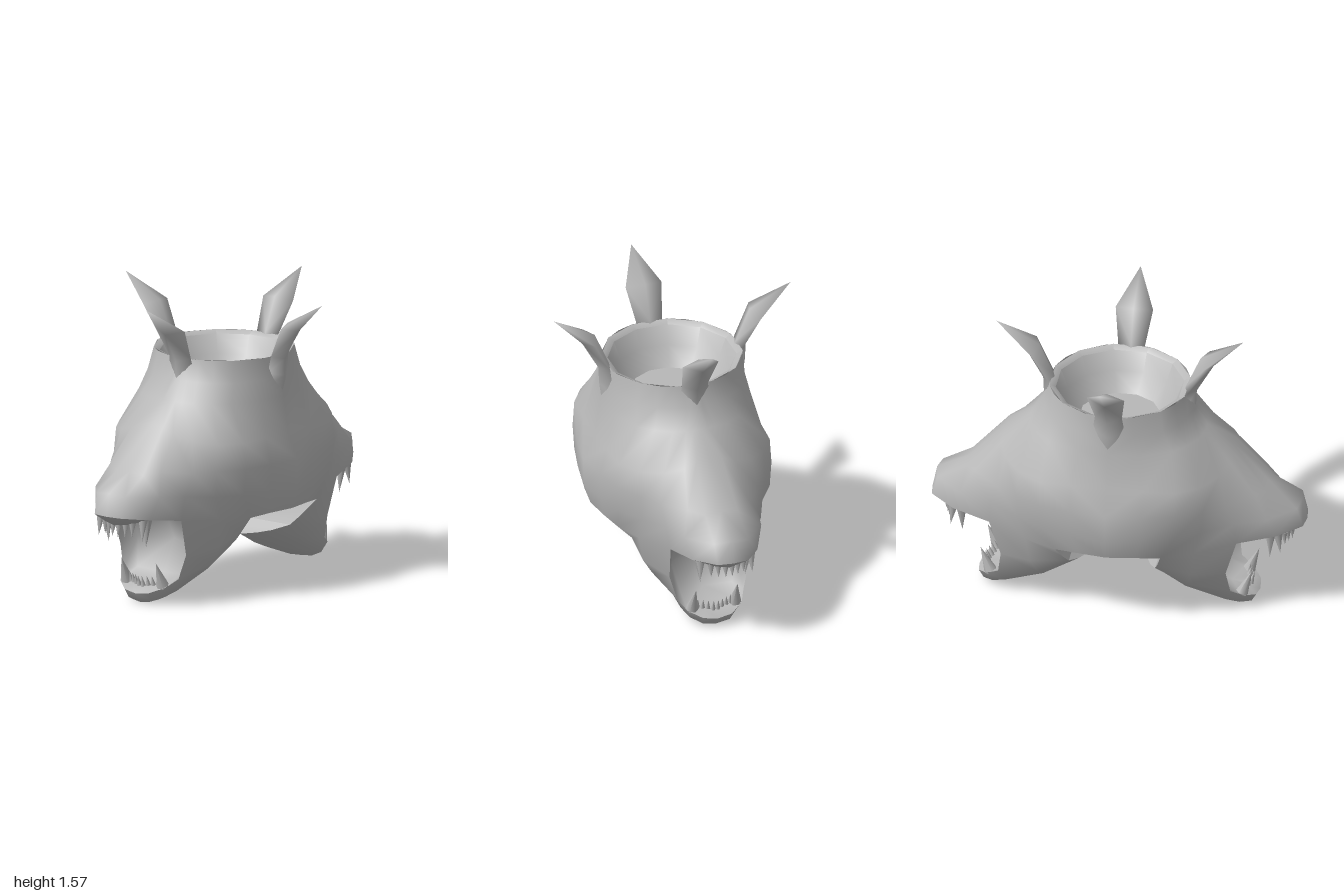
import * as THREE from 'three';
import { mergeVertices, toCreasedNormals } from 'three/addons/utils/BufferGeometryUtils.js';

// Triangles between neighbouring columns of points
function loft(cols) {
  const tris = [];
  for (let i = 0; i < cols.length - 1; i++) {
    for (let j = 0; j < cols[i].length - 1; j++) {
      const a = cols[i][j], b = cols[i + 1][j], c = cols[i][j + 1], d = cols[i + 1][j + 1];
      tris.push([a, c, b], [b, c, d]);
    }
  }
  return tris;
}

// Repeat triangles under sign flips of x and z, then weld into one smooth surface
function mirrored(tris, signs) {
  const pos = [];
  for (const [sx, sz] of signs) {
    for (const t of tris) {
      const order = sx * sz > 0 ? t : [t[0], t[2], t[1]];
      for (const [x, y, z] of order) pos.push(x * sx, y, z * sz);
    }
  }
  let g = new THREE.BufferGeometry();
  g.setAttribute('position', new THREE.Float32BufferAttribute(pos, 3));
  g = mergeVertices(g, 1e-4);
  g.computeVertexNormals();
  return g;
}

export function createModel() {
  const model = new THREE.Group();
  model.name = 'twoHeadedBeast';
  const grey = new THREE.MeshStandardMaterial({ color: 0xb8b8b8, side: THREE.DoubleSide });
  grey.name = 'stone grey';
  const add = (name, geometry, parent = model) => {
    const mesh = new THREE.Mesh(geometry, grey);
    mesh.name = name;
    parent.add(mesh);
    return mesh;
  };
  const quarters = [[1, 1], [1, -1], [-1, 1], [-1, -1]];

  // Skull: lines running down from the shoulder of the crown, in two parts
  const flank = [
    [[0, 1.15, .385], [0, 1.05, .4], [0, .86, .43], [0, .72, .495], [0, .56, .49], [0, .45, .455]],
    [[.13, 1.15, .36], [.16, 1.05, .38], [.19, .86, .43], [.19, .72, .465], [.19, .57, .46], [.15, .45, .435]],
    [[.28, 1.15, .29], [.33, 1.05, .31], [.36, .86, .42], [.36, .72, .43], [.36, .58, .42], [.28, .44, .4]],
    [[.345, 1.15, .2], [.4, 1.05, .235], [.48, .86, .345], [.5, .72, .345], [.49, .58, .335], [.45, .45, .34]],
  ];
  const snout = [
    [[.38, 1.15, .12], [.45, 1.05, .15], [.57, .88, .24], [.61, .72, .275], [.65, .6, .255], [.66, .47, .235]],
    [[.395, 1.15, .06], [.46, 1.05, .08], [.61, .91, .14], [.75, .74, .17], [.82, .62, .215], [.86, .5, .18]],
    [[.405, 1.15, .03], [.468, 1.05, .04], [.605, .94, .07], [.8, .72, .09], [.96, .63, .095], [.99, .52, .085]],
    [[.41, 1.15, 0], [.47, 1.05, 0], [.6, .95, 0], [.8, .73, 0], [.975, .64, 0], [1, .52, 0]],
  ];
  // Each line starts on the round crown rim
  const skull = [...flank, ...snout].map((line) => {
    const [x, , z] = line[0];
    const k = 0.372 / Math.hypot(x, z);
    return [[x * k, 1.266, z * k], ...line];
  });

  // Throat and cheeks: lines from the skull down to the underside of the jaw
  const jaw = [
    [[.28, .44, .4], [.25, .34, .31], [.23, .29, .26], [.19, .255, .17], [.165, .235, .09], [.14, .22, 0]],
    [[.45, .45, .34], [.43, .3, .31], [.4, .2, .25], [.38, .15, .185], [.37, .12, .09], [.36, .11, 0]],
    [[.66, .47, .235], [.6, .27, .22], [.62, .14, .185], [.59, .07, .155], [.57, .04, .09], [.56, .035, 0]],
  ];
  const chin = [
    jaw[2].slice(2),
    [[.69, .1, .15], [.66, .045, .13], [.65, .02, .075], [.64, .015, 0]],
    [[.74, .07, .08], [.715, .025, .075], [.7, .01, .045], [.69, .004, 0]],
    [[.75, .06, 0], [.72, .02, 0], [.705, .005, 0], [.69, .004, 0]],
  ];
  add('headsSkin', mirrored([...loft(skull), ...loft(jaw), ...loft(chin)], quarters));

  // Mouth lining: lip edge, gum ring and middle line
  const mouth = [
    [[1, .52, 0], [.99, .52, .085], [.86, .5, .18], [.66, .47, .235], [.6, .27, .22],
      [.62, .14, .185], [.69, .1, .15], [.74, .07, .08], [.75, .06, 0]],
    [[.93, .46, 0], [.915, .47, .07], [.82, .49, .135], [.57, .49, .18], [.5, .3, .18],
      [.55, .15, .145], [.645, .115, .11], [.7, .1, .055], [.71, .095, 0]],
    [[.93, .46, 0], [.87, .53, 0], [.78, .55, 0], [.52, .51, 0], [.42, .3, 0],
      [.5, .13, 0], [.6, .1, 0], [.67, .09, 0], [.71, .095, 0]],
  ];
  add('mouthLinings', mirrored(loft(mouth), quarters));

  // Flat-cut underside between the two throats
  const edge = [flank[0][5], flank[1][5], ...jaw[0]];
  const middle = edge.map(([x, y]) => [x, y, 0]);
  add('neckCut', toCreasedNormals(mirrored(loft([middle, edge]), quarters), 0.3));

  // Hollow bowl inside the crown
  const profile = [[.374, 1.266], [.34, 1.25], [.3, 1.15], [.215, 1.06], [0, 1.06]]
    .map(([r, y]) => new THREE.Vector2(r, y));
  add('crownBowl', toCreasedNormals(new THREE.LatheGeometry(profile, 12, Math.PI / 12), 0.8));

  // Crown spikes: rounded wedge sections that flare and end in an outward point
  const section = (w, outer, side, inner) => [
    [0, outer[1], outer[0]], [w, side[1], side[0]], [0, inner[1], inner[0]],
  ];
  const spike = [
    section(.1, [.395, 1.08], [.345, 1.1], [.33, 1.15]),
    section(.085, [.406, 1.16], [.36, 1.18], [.335, 1.22]),
    section(.072, [.41, 1.25], [.372, 1.268], [.352, 1.27]),
    section(.1, [.5, 1.41], [.46, 1.435], [.43, 1.45]),
    section(0, [.66, 1.573], [.66, 1.573], [.66, 1.573]),
  ];
  const spikeGeometry = mirrored(loft(spike), [[-1, 1], [1, 1]]);
  for (let i = 0; i < 4; i++) add('crownSpike', spikeGeometry).rotation.y = i * Math.PI / 2;

  // Teeth: cones from gum to tip
  const up = new THREE.Vector3(0, 1, 0);
  const teeth = new THREE.Group();
  teeth.name = 'teeth';
  model.add(teeth);
  function tooth(name, base, tip, radius) {
    const a = new THREE.Vector3(...base), b = new THREE.Vector3(...tip);
    const axis = b.clone().sub(a);
    const mesh = add(name, new THREE.ConeGeometry(radius, axis.length(), 7), teeth);
    mesh.position.copy(a).add(b).multiplyScalar(0.5);
    mesh.quaternion.setFromUnitVectors(up, axis.normalize());
  }
  for (const [sx, sz] of quarters) {
    const put = (name, [x, y, z], [tx, ty, tz], r) => tooth(name, [x * sx, y, z * sz], [tx * sx, ty, tz * sz], r);
    put('upperFang', [.825, .51, .135], [.82, .34, .125], .033);
    put('upperSideTooth', [.865, .5, .14], [.88, .38, .145], .026);
    put('lowerFang', [.67, .1, .12], [.725, .235, .115], .035);
    for (let i = 0; i < 3; i++) {
      const z = .018 + i * .036;
      put('upperIncisor', [.915 - i * .012, .48, z], [.925 - i * .015, .4, z], .02);
    }
    for (let i = 0; i < 4; i++) {
      const z = .013 + i * .026;
      put('lowerIncisor', [.7 - i * .01, .09 + i * .004, z], [.715 - i * .01, .15 + i * .002, z], .015);
    }
  }
  return model;
}
